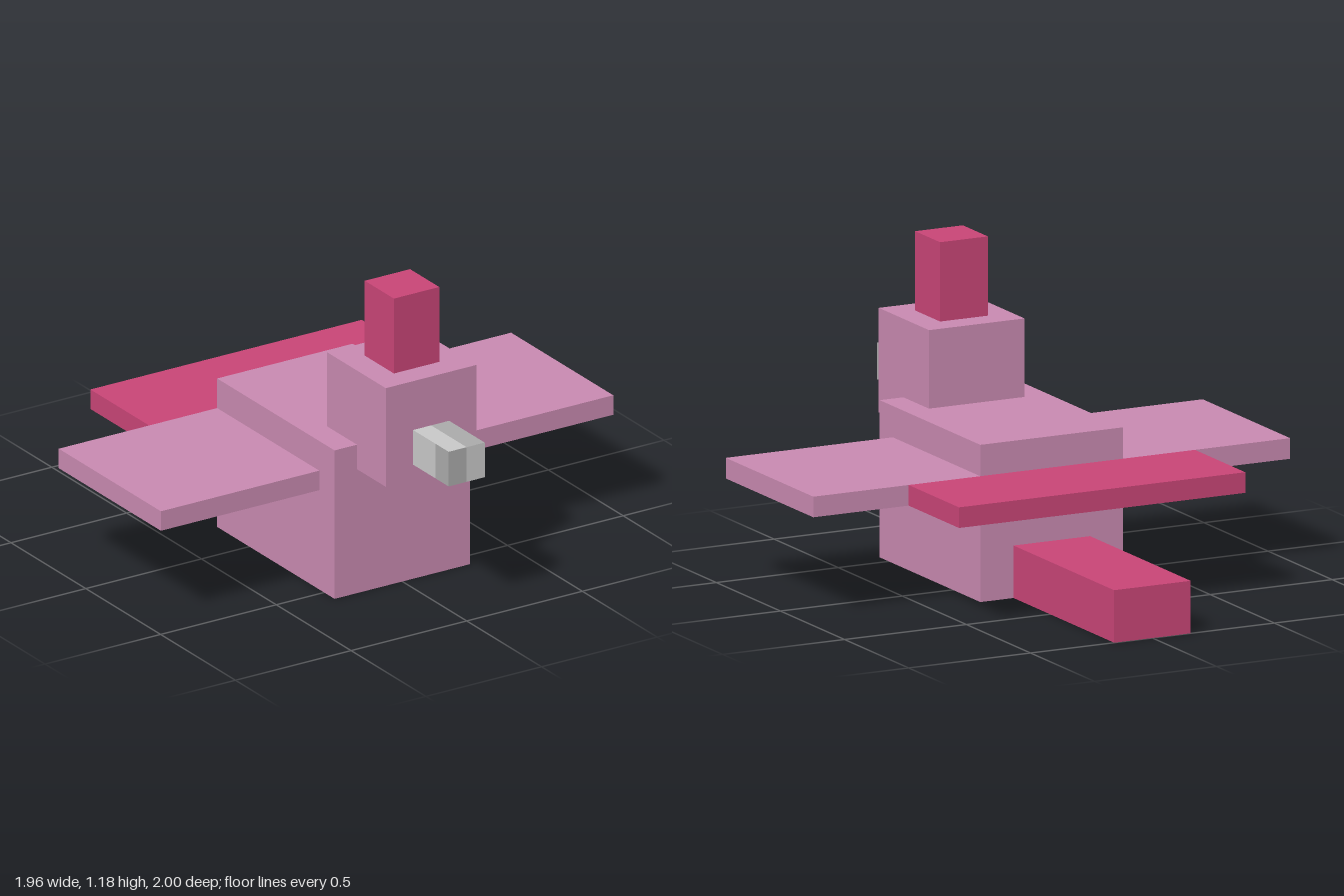
import * as THREE from 'three';

const material = (name, color) => new THREE.MeshStandardMaterial({ name, color });

export function createModel() {
  const pink = material('pink', 0xc98ab1);
  const rose = material('rose', 0xc94577);
  const lightGrey = material('light grey', 0xc9c9c9);
  const darkGrey = material('dark grey', 0xababab);
  const model = new THREE.Group();
  model.name = 'blockBird';

  // Box given by its extents along each axis
  function block(name, mat, [x0, x1], [y0, y1], [z0, z1], segments = [1, 1, 1]) {
    const geometry = new THREE.BoxGeometry(x1 - x0, y1 - y0, z1 - z0, ...segments);
    const mesh = new THREE.Mesh(geometry, mat);
    mesh.position.set((x0 + x1) / 2, (y0 + y1) / 2, (z0 + z1) / 2);
    mesh.name = name;
    model.add(mesh);
    return mesh;
  }

  block('body', pink, [-0.293, 0.293], [0, 0.587], [-0.215, 0.57]);
  block('head', pink, [-0.196, 0.196], [0.49, 0.88], [0.37, 0.762]);
  block('crest', rose, [-0.098, 0.098], [0.88, 1.176], [0.47, 0.665]);

  // Wings on both sides
  block('leftWing', pink, [0.293, 0.978], [0.393, 0.47], [-0.215, 0.468]);
  block('rightWing', pink, [-0.978, -0.293], [0.393, 0.47], [-0.215, 0.468]);

  // Wide back plate and low tail
  block('backPlate', rose, [-0.587, 0.587], [0.393, 0.47], [-0.608, -0.215]);
  block('tail', rose, [-0.157, 0.157], [0, 0.196], [-1, -0.215]);

  // Two-tone beak: sides change tone along z, top and front along x
  const beak = block('beak', [lightGrey, darkGrey], [-0.078, 0.078], [0.55, 0.687], [0.762, 1], [2, 1, 8]);
  const { position, normal } = beak.geometry.attributes;
  const index = beak.geometry.index;
  beak.geometry.clearGroups();
  for (let i = 0; i < index.count; i += 6) {
    let x = 0, z = 0;
    for (let k = 0; k < 6; k++) {
      x += position.getX(index.getX(i + k)) / 6;
      z += position.getZ(index.getX(i + k)) / 6;
    }
    const v = index.getX(i);
    let dark = normal.getY(v) < -0.5;
    if (Math.abs(normal.getX(v)) > 0.5) dark = z > 0.03;
    if (normal.getY(v) > 0.5) dark = x > 0;
    if (normal.getZ(v) > 0.5) dark = x < 0;
    beak.geometry.addGroup(i, 6, dark ? 1 : 0);
  }

  return model;
}
